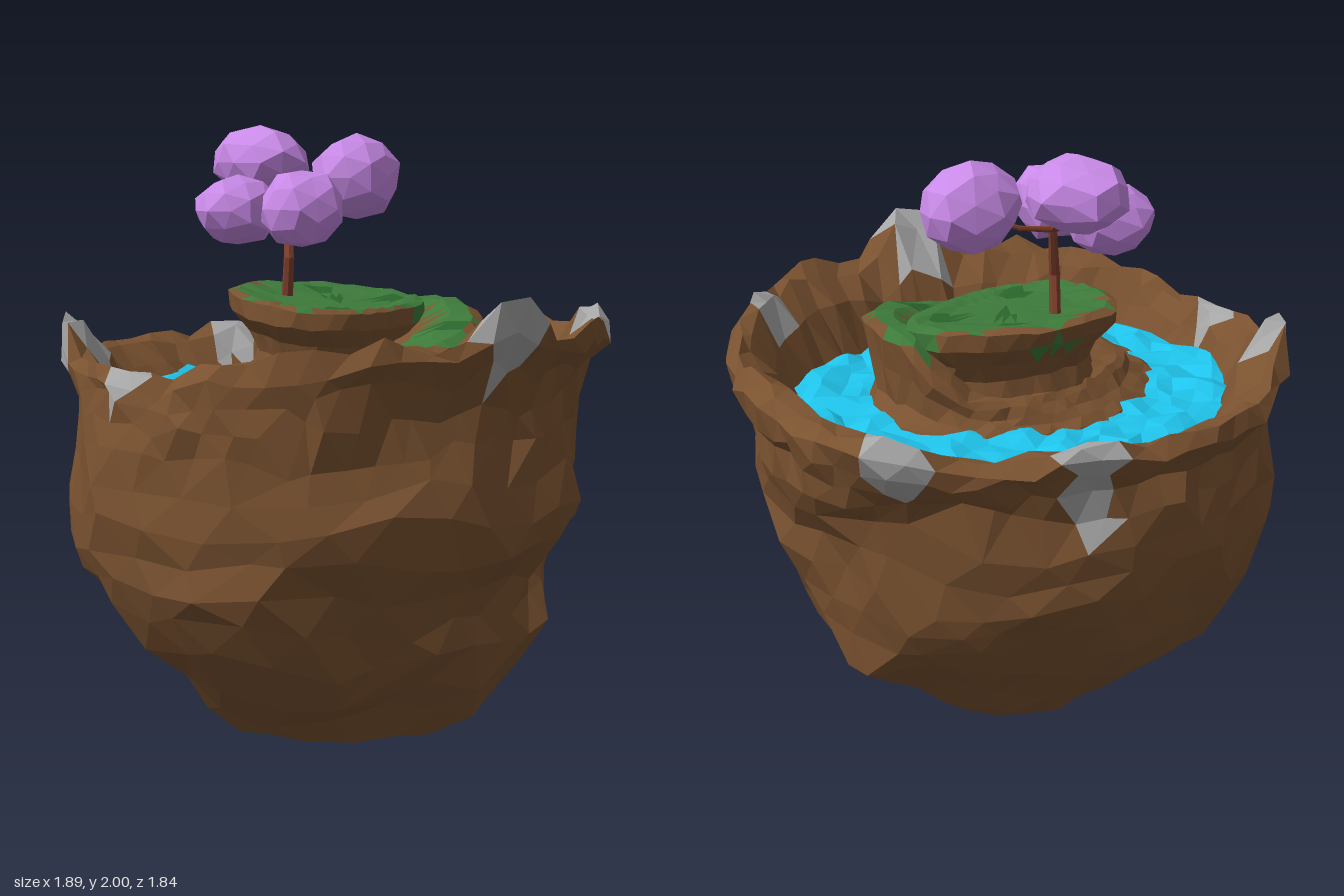
import * as THREE from 'three';

const COLORS = {
  earth: 0x7a5230, rock: 0xa6a6a6, grass: 0x3d7a3a, darkGrass: 0x2a662c,
  water: 0x1fc4ec, bark: 0x80402c, blossom: 0xc98ae8,
};
const MATS = {};
for (const k in COLORS) MATS[k] = new THREE.MeshStandardMaterial({ color: COLORS[k], flatShading: true });

// Repeatable noise in -0.5..0.5
const hash = (i, j) => {
  const s = Math.sin(i * 127.1 + j * 311.7 + 3.3) * 43758.5453;
  return s - Math.floor(s) - 0.5;
};
const angleGap = (a, b) => Math.atan2(Math.sin(a - b), Math.cos(a - b));

// Rings are [y, -x, +x, -z, +z reach]; step(i) merges neighbours for larger facets.
// Every triangle goes to the part its centroid is sorted into.
function loft(rings, segs, { seed, jitter, lift, warp = (r, h) => [r, h], step = () => 1, sort, names }) {
  const pts = rings.map(([y, xm, xp, zm, zp], i) =>
    Array.from({ length: segs }, (_, n) => {
      const w = step(i), j = Math.floor(n / w) * w;
      const t = ((j + (w - 1) / 2 + w * ((i % 2) * 0.5 + 0.5 * hash(j + 9, i + seed))) / segs) * Math.PI * 2;
      const c = Math.cos(t), s = Math.sin(t);
      let r = 0, h = y;
      if (xm > 0) {
        const a = c < 0 ? xm : xp, b = s < 0 ? zm : zp;
        r = (a * b) / Math.hypot(b * c, a * s);
        h += lift * Math.min(1, 1.6 * r) * hash(j + seed, i + 50);
        r += jitter * Math.min(1, 1.6 * r) * hash(i + seed, j);
        [r, h] = warp(r, h, Math.atan2(s, c), i);
      }
      return new THREE.Vector3(r * c, h, r * s);
    }));
  const buckets = {};
  const add = (a, b, c) => {
    if (a.equals(b) || b.equals(c) || a.equals(c)) return;
    const mid = new THREE.Vector3().add(a).add(b).add(c).divideScalar(3);
    const list = (buckets[sort(mid)] ??= []);
    for (const p of [a, b, c]) list.push(p.x, p.y, p.z);
  };
  for (let i = 0; i + 1 < rings.length; i++) {
    for (let j = 0; j < segs; j++) {
      const k = (j + 1) % segs;
      const a = pts[i][j], b = pts[i][k], c = pts[i + 1][j], d = pts[i + 1][k];
      if (i % 2) { add(a, c, d); add(a, d, b); } else { add(a, c, b); add(b, c, d); }
    }
  }
  return Object.keys(buckets).map((key) => {
    const g = new THREE.BufferGeometry();
    g.setAttribute('position', new THREE.Float32BufferAttribute(buckets[key], 3));
    g.computeVertexNormals();
    const m = new THREE.Mesh(g, MATS[key]);
    m.name = names[key];
    return m;
  });
}

// Rim rocks: angle, half width, lowest y, rise above the rim, outward bulge
const ROCKS = [
  [1.93, 0.15, 1.24, 0.1, 0.06], [0.94, 0.15, 1.1, 0.05, -0.02], [-0.44, 0.14, 1.08, 0.03, 0.06],
  [-1.09, 0.12, 0.94, 0.02, 0.02], [-2.31, 0.15, 1.12, 0.09, 0.01], [-2.91, 0.11, 1.14, 0.02, 0],
];

// Rim height every eighth of a turn, from -x by way of the back
const RIM = [1.28, 1.29, 1.25, 1.25, 1.28, 1.38, 1.39, 1.38];
function rimHeight(t) {
  const u = ((t + Math.PI) / Math.PI) * 4, i = Math.floor(u);
  return THREE.MathUtils.lerp(RIM[i % 8], RIM[(i + 1) % 8], u - i);
}

function basin() {
  const rings = [
    [0.03, 0, 0, 0, 0], [0.015, 0.13, 0.1, 0.13, 0.1], [0.01, 0.28, 0.2, 0.26, 0.25],
    [0.06, 0.46, 0.3, 0.31, 0.43], [0.15, 0.55, 0.43, 0.39, 0.55], [0.25, 0.66, 0.55, 0.49, 0.63],
    [0.38, 0.82, 0.69, 0.68, 0.72], [0.5, 0.89, 0.75, 0.79, 0.71], [0.6, 0.95, 0.78, 0.84, 0.73],
    [0.71, 0.94, 0.79, 0.87, 0.82], [0.82, 0.94, 0.8, 0.87, 0.83], [0.92, 0.93, 0.83, 0.87, 0.79],
    [1.02, 0.92, 0.87, 0.84, 0.76], [1.1, 0.92, 0.89, 0.83, 0.76], [1.17, 0.91, 0.93, 0.89, 0.79],
    [1.22, 0.91, 0.94, 0.93, 0.87], [1.27, 0.87, 0.88, 0.91, 0.88], [1.25, 0.83, 0.84, 0.85, 0.82],
    [1.18, 0.79, 0.8, 0.77, 0.72], [1.1, 0.74, 0.75, 0.69, 0.63], [1.0, 0.5, 0.5, 0.5, 0.45], [0.99, 0, 0, 0, 0],
  ];
  const warp = (r, h, t, i) => {
    const k = i > 18 ? 0 : Math.max(0, h - 1) / 0.27;
    let rise = rimHeight(t) - 1.27 + 0.012 * Math.sin(5 * t + 1) + 0.01 * Math.sin(11 * t);
    let out = 0;
    for (const [a, w, , up, bulge] of ROCKS) {
      const e = Math.exp(-((angleGap(t, a) / w) ** 4));
      rise += up * e;
      out += bulge * e;
    }
    // Broad lumps, flatter diagonals low down, and a slanting hollow on the front face
    if (i > 3 && i < 13) {
      const low = Math.exp(-(((h - 0.48) / 0.22) ** 2));
      r *= 1 - 0.06 * low * Math.sin(2 * t) ** 2;
      r += 0.015 * Math.sin(4 * t + 7 * h) + 0.012 * Math.sin(9 * t - 11 * h);
      r -= 0.09 * Math.exp(-(((t - 1.2 + (h - 0.65) * 0.9) / 0.2) ** 2) - ((h - 0.65) / 0.16) ** 2);
      h += 0.025 * Math.sin(3 * t + 9 * h) + 0.02 * Math.sin(7 * t + i);
    }
    if (i < 18) r += out * Math.min(1, k);
    return [r, Math.max(0, h + k * rise)];
  };
  const sort = (p) => {
    const t = Math.atan2(p.z, p.x), r = Math.hypot(p.x, p.z);
    const isRock = r > 0.75 && ROCKS.some(([a, w, low]) => p.y > low
      && Math.abs(angleGap(t, a)) < w * Math.min(0.9, 0.5 + 3 * (p.y - low)));
    return isRock ? 'rock' : 'earth';
  };
  const step = (i) => (i < 3 ? 6 : i < 6 ? 3 : i < 12 ? 2 : 1);
  return loft(rings, 60, { seed: 7, jitter: 0.035, lift: 0.04, warp, step, sort, names: { earth: 'basin', rock: 'rimRocks' } });
}

// Rippled water filling the basin round the island
function water() {
  const rings = [1, 0.92, 0.84, 0.76, 0.68, 0.6, 0.5].map((f) => [1.135, 0.77 * f, 0.78 * f, 0.74 * f, 0.68 * f]);
  return loft(rings, 44, { seed: 31, jitter: 0.05, lift: 0.04, sort: () => 'water', names: { water: 'water' } });
}

// Island foot with a grassy ramp that leaves the plateau and winds down round the front
const rampRise = (t) => 0.2 * Math.max(0, t < 0 ? 1 + t / 0.5 : Math.min(1, (2.9 - t) / 2.3));
function lowerIsland() {
  const rings = [
    [1.02, 0.62, 0.54, 0.49, 0.46], [1.13, 0.57, 0.49, 0.43, 0.41], [1.15, 0.52, 0.45, 0.39, 0.4],
    [1.17, 0.47, 0.45, 0.36, 0.45], [1.2, 0.45, 0.47, 0.33, 0.47], [1.22, 0.41, 0.44, 0.31, 0.43],
    [1.22, 0.36, 0.38, 0.28, 0.35], [1.23, 0.26, 0.28, 0.22, 0.24], [1.25, 0, 0, 0, 0],
  ];
  const share = [0, 0, 0.15, 0.6, 0.95, 1, 1, 0.6, 0];
  const warp = (r, h, t, i) => [r, h + share[i] * rampRise(t)];
  const sort = (p) => {
    const t = Math.atan2(p.z, p.x);
    if (t < -0.2 || t > 2.85 || p.y < 1.19 + rampRise(t) || Math.hypot(p.x, p.z) > 0.445 + 0.015 * Math.sin(13 * t)) return 'earth';
    return Math.hypot(p.x - 0.1, p.z - 0.34) < 0.07 || Math.hypot(p.x + 0.25, p.z - 0.3) < 0.05 ? 'darkGrass' : 'grass';
  };
  return loft(rings, 44, { seed: 53, jitter: 0.03, lift: 0.02, warp, sort, names: { earth: 'islandFoot', grass: 'rampGrass', darkGrass: 'rampGrassPatches' } });
}

// Undercut plateau with a grass top, rising toward the back
function plateau() {
  const rings = [
    [1.15, 0.28, 0.36, 0.32, 0.16], [1.25, 0.25, 0.35, 0.29, 0.16], [1.31, 0.27, 0.37, 0.33, 0.17],
    [1.37, 0.32, 0.41, 0.39, 0.2], [1.425, 0.32, 0.41, 0.4, 0.2], [1.435, 0.29, 0.37, 0.37, 0.18],
    [1.43, 0.25, 0.31, 0.31, 0.15], [1.42, 0.19, 0.24, 0.24, 0.12], [1.42, 0.1, 0.14, 0.13, 0.07],
    [1.42, 0, 0, 0, 0],
  ];
  const warp = (r, h, t) => [r, h - 0.1 * r * Math.sin(t)];
  const sort = (p) => {
    const t = Math.atan2(p.z, p.x);
    const reach = Math.hypot(p.x / (p.x < 0 ? 0.32 : 0.41), p.z / (p.z < 0 ? 0.4 : 0.2));
    const edge = t > -0.2 && t < 0.9 ? 1.1 : 0.92 + 0.06 * Math.sin(9 * t);
    if (p.y < 1.37 || reach > edge) return 'earth';
    const patches = [[0.24, 0.03], [0.1, -0.1], [-0.12, 0.08], [0.2, -0.24]];
    return reach < 0.8 && patches.some(([x, z]) => Math.hypot(p.x - x, p.z - z) < 0.055) ? 'darkGrass' : 'grass';
  };
  return loft(rings, 36, { seed: 83, jitter: 0.03, lift: 0.018, warp, sort, names: { earth: 'plateau', grass: 'plateauGrass', darkGrass: 'plateauGrassPatches' } });
}

// Tapered limb between two points
function limb(name, from, to, r0, r1) {
  const a = new THREE.Vector3(...from), b = new THREE.Vector3(...to);
  const dir = b.clone().sub(a);
  const m = new THREE.Mesh(new THREE.CylinderGeometry(r1, r0, dir.length(), 7), MATS.bark);
  m.position.copy(a).addScaledVector(dir, 0.5);
  m.quaternion.setFromUnitVectors(new THREE.Vector3(0, 1, 0), dir.normalize());
  m.name = name;
  return m;
}

// Faceted blossom clump: centre and half sizes
function clump([x, y, z, rx, ry, rz], n) {
  const g = new THREE.IcosahedronGeometry(1, 1);
  const p = g.attributes.position, v = new THREE.Vector3();
  for (let i = 0; i < p.count; i++) {
    v.fromBufferAttribute(p, i);
    const k = 1 + 0.06 * Math.sin(4 * v.x + 3 * v.y + 5 * v.z + n * 2);
    p.setXYZ(i, v.x * k * rx, v.y * k * ry, v.z * k * rz);
  }
  g.computeVertexNormals();
  const m = new THREE.Mesh(g, MATS.blossom);
  m.position.set(x, y, z);
  m.name = 'blossomClump';
  return m;
}

function tree() {
  const g = new THREE.Group();
  g.name = 'tree';
  const fork = [0.025, 1.73, -0.235];
  g.add(
    limb('lowerTrunk', [-0.01, 1.4, -0.215], [-0.03, 1.57, -0.19], 0.02, 0.018),
    limb('upperTrunk', [-0.03, 1.56, -0.19], fork, 0.018, 0.014),
    limb('backBranch', fork, [0.05, 1.86, -0.36], 0.013, 0.008),
    limb('rightBranch', fork, [-0.17, 1.74, -0.28], 0.011, 0.007),
    limb('frontBranch', fork, [-0.16, 1.74, -0.05], 0.011, 0.007),
    limb('leftBranch', fork, [0.14, 1.75, -0.2], 0.011, 0.008),
    limb('leftTwig', [0.14, 1.75, -0.2], [0.26, 1.8, -0.14], 0.009, 0.006),
  );
  const clumps = [
    [-0.19, 1.73, -0.28, 0.155, 0.115, 0.135], [-0.19, 1.74, -0.02, 0.125, 0.13, 0.135],
    [0.065, 1.88, -0.38, 0.15, 0.12, 0.185], [0.28, 1.83, -0.13, 0.175, 0.145, 0.145],
  ];
  clumps.forEach((c, n) => g.add(clump(c, n)));
  return g;
}

export function createModel() {
  const model = new THREE.Group();
  model.name = 'floatingIsland';
  model.add(...basin(), ...water(), ...lowerIsland(), ...plateau(), tree());
  return model;
}
